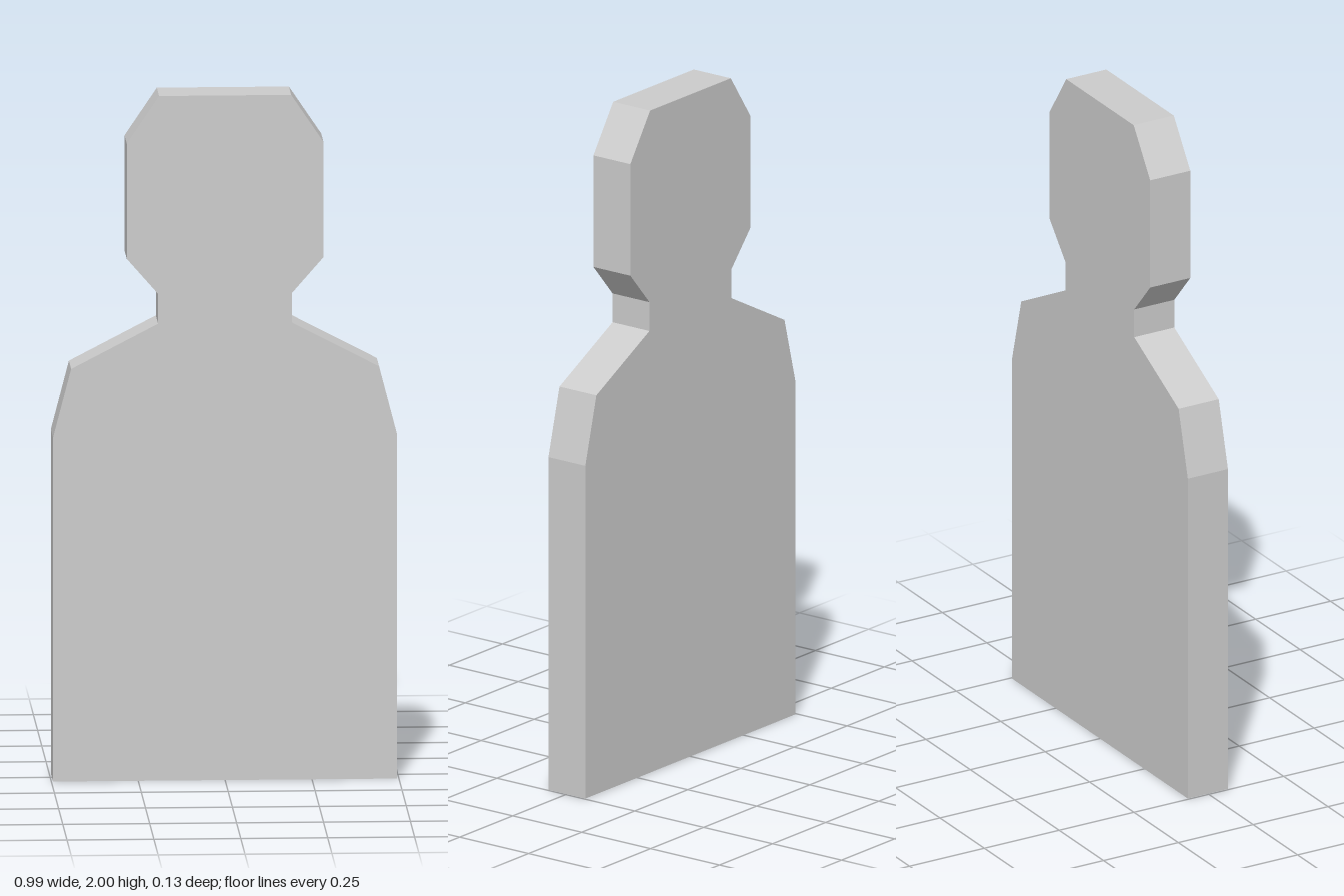
import * as THREE from 'three';

const DEPTH = 0.134;

// Right-hand half of the silhouette, from the base up to the top of the head
const HALF_PROFILE = [
  [0.495, 0], [0.495, 1.005], [0.443, 1.205], // side and upper arm
  [0.193, 1.335], [0.193, 1.422],             // shoulder and neck
  [0.283, 1.525], [0.283, 1.862], [0.19, 2],  // jaw, cheek and crown
];

export function createModel() {
  const group = new THREE.Group();
  group.name = 'silhouetteTarget';

  // Mirror the half profile into a closed outline
  const right = HALF_PROFILE.map(([x, y]) => new THREE.Vector2(x, y));
  const left = HALF_PROFILE.map(([x, y]) => new THREE.Vector2(-x, y)).reverse();
  const outline = new THREE.Shape([...right, ...left]);

  // Flat board with square edges
  const geometry = new THREE.ExtrudeGeometry(outline, { depth: DEPTH, bevelEnabled: false });
  geometry.translate(0, 0, -DEPTH / 2);

  const material = new THREE.MeshStandardMaterial({ color: 0xcccccc, flatShading: true });
  const board = new THREE.Mesh(geometry, material);
  board.name = 'targetBoard';
  group.add(board);

  return group;
}
